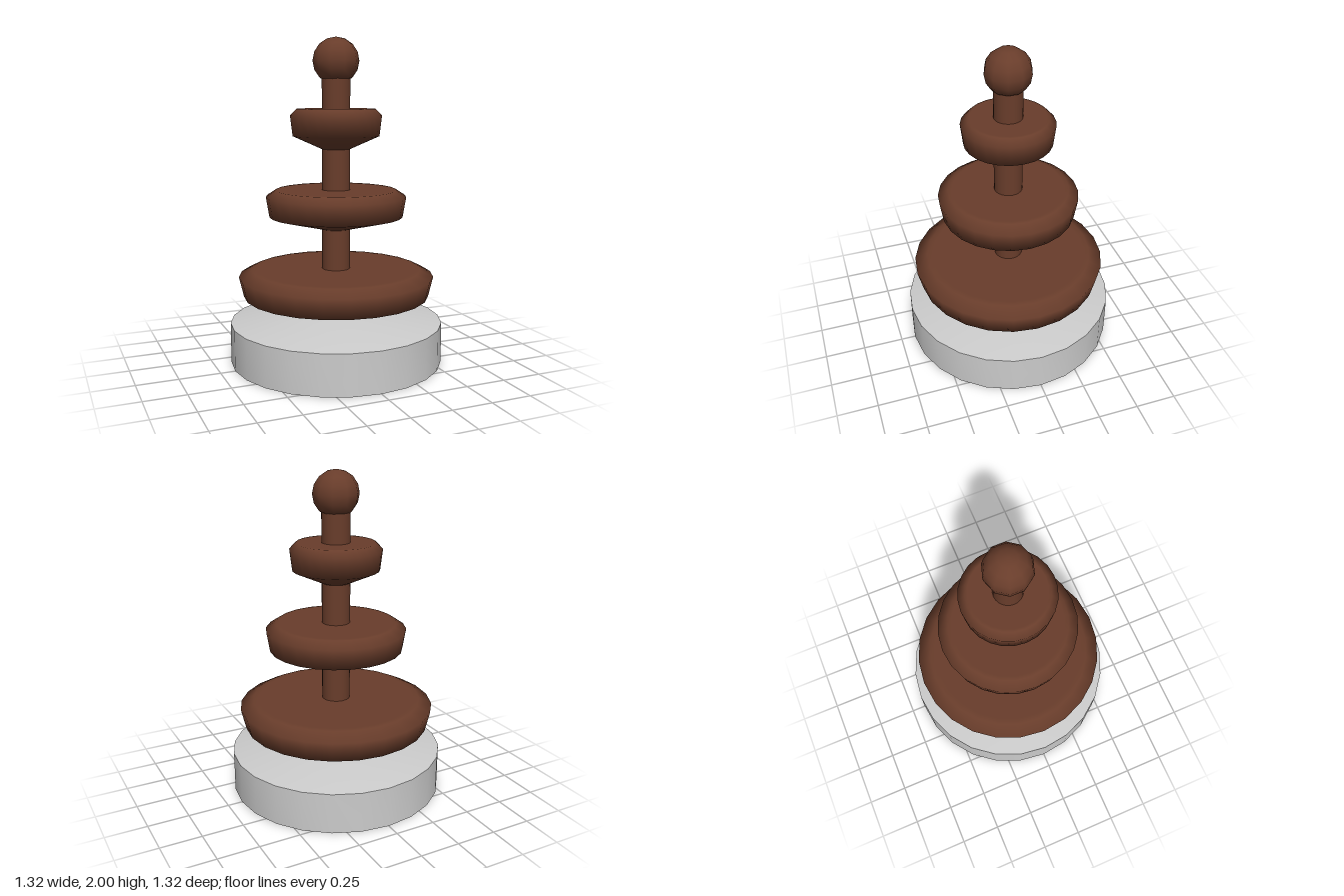
import * as THREE from 'three';
import { toCreasedNormals } from 'three/addons/utils/BufferGeometryUtils.js';

const SIDES = 24;

export function createModel() {
  const group = new THREE.Group();
  const grey = new THREE.MeshStandardMaterial({ color: 0xcccccc, side: THREE.DoubleSide });
  const chocolate = new THREE.MeshStandardMaterial({ color: 0x693d2b });

  const add = (name, geometry, material) => {
    const mesh = new THREE.Mesh(geometry, material);
    mesh.name = name;
    group.add(mesh);
    return mesh;
  };
  const lathe = (points) =>
    new THREE.LatheGeometry(points.map(([r, y]) => new THREE.Vector2(r, y)), SIDES);

  // Hollow base, open underneath, with a shallow sloping top
  const base = lathe([[0.66, 0], [0.66, 0.25], [0.25, 0.33], [0, 0.33]]);
  add('base', toCreasedNormals(base, Math.PI / 6), grey);

  // Central post
  const post = new THREE.CylinderGeometry(0.087, 0.087, 1.42, SIDES);
  post.translate(0, 1.045, 0);
  add('post', post, chocolate);

  // Three stacked tiers: conical underside, flared rim, bevelled flat top
  const tiers = [
    { name: 'lowerTier', y: 0.335, under: 0.575, rim: 0.605, top: 0.525 },
    { name: 'middleTier', y: 0.83, under: 0.412, rim: 0.433, top: 0.372 },
    { name: 'upperTier', y: 1.325, under: 0.266, rim: 0.281, top: 0.242 },
  ];
  for (const { name, y, under, rim, top } of tiers) {
    const tier = lathe([
      [0, y], [0.087, y], [under, y + 0.08], [rim, y + 0.205],
      [top, y + 0.245], [top * 0.93, y + 0.245], [0, y + 0.245],
    ]);
    add(name, tier, chocolate);
  }

  // Ball finial
  const ball = new THREE.SphereGeometry(0.142, 10, 8);
  ball.rotateY(Math.PI / 2);
  add('finial', ball, chocolate).position.y = 1.858;

  return group;
}
